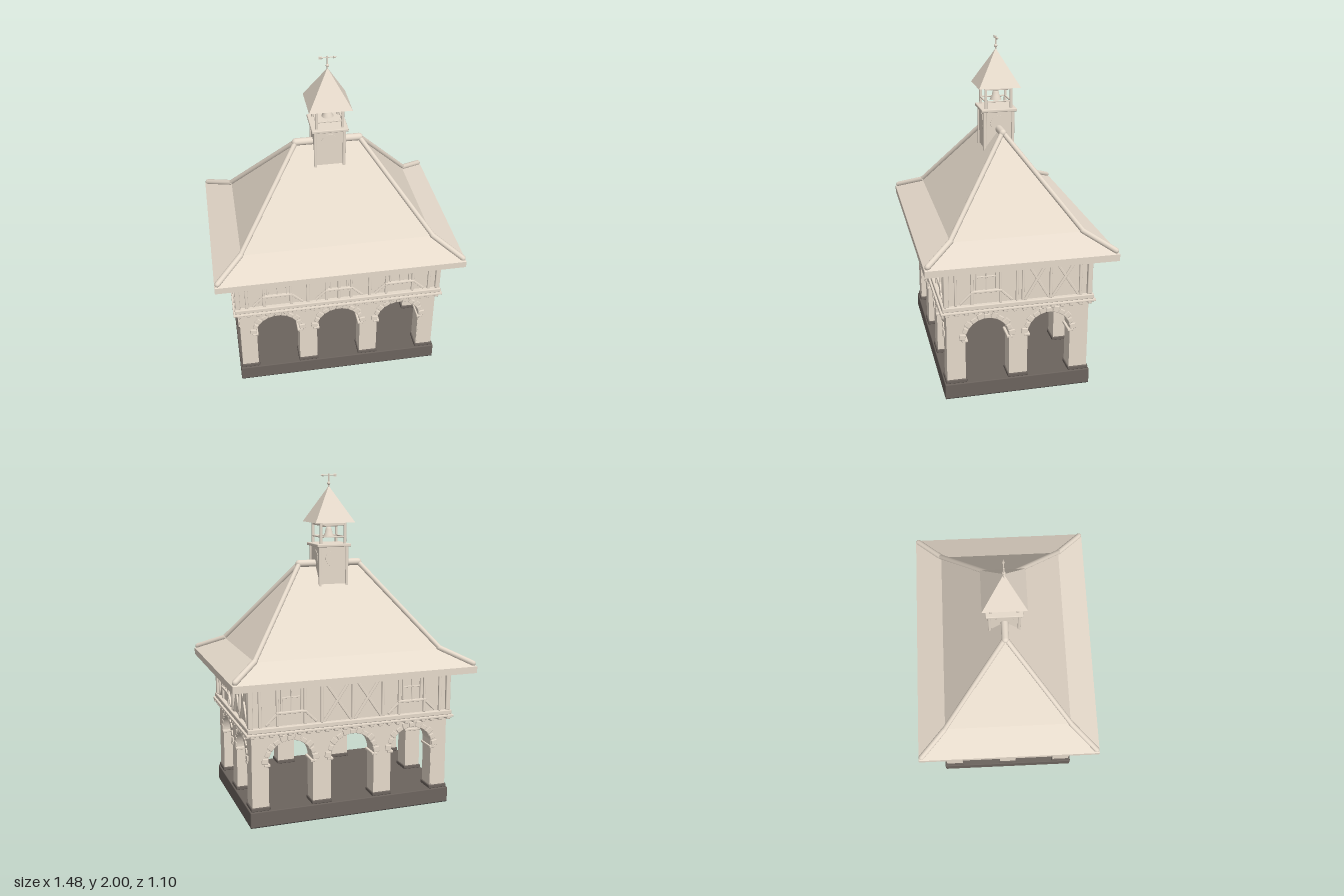
import * as THREE from 'three';
import { RoundedBoxGeometry } from 'three/addons/geometries/RoundedBoxGeometry.js';

const mat = (name, color) => {
  const m = new THREE.MeshStandardMaterial({ color });
  m.name = name;
  return m;
};

export function createModel() {
  const stone = mat('pale stone', 0xe6dacb);
  const slate = mat('dark paving', 0x6c645e);
  const shade = mat('black footing', 0x333333);
  const model = new THREE.Group();

  const group = (name, parent = model) => {
    const g = new THREE.Group();
    g.name = name;
    parent.add(g);
    return g;
  };
  const add = (parent, name, geo, x = 0, y = 0, z = 0, m = stone) => {
    const mesh = new THREE.Mesh(geo, m);
    mesh.name = name;
    mesh.position.set(x, y, z);
    parent.add(mesh);
    return mesh;
  };
  // Block with softened edges
  const box = (parent, name, w, h, d, x, y, z, m) =>
    add(parent, name, new RoundedBoxGeometry(w, h, d, 1, Math.min(0.005, 0.25 * Math.min(w, h, d))), x, y, z, m);
  // Timber lying on a facade between two points
  const beam = (parent, name, x1, y1, x2, y2, t = 0.016, d = 0.014, z = 0.006) => {
    const b = box(parent, name, t, Math.hypot(x2 - x1, y2 - y1), d, (x1 + x2) / 2, (y1 + y2) / 2, z);
    b.rotation.z = Math.atan2(x1 - x2, y2 - y1);
  };
  // Round-ended rod between two points
  const rod = (parent, name, a, b, r, sides = 10) => {
    const p = new THREE.Vector3(...a), q = new THREE.Vector3(...b);
    const m = add(parent, name, new THREE.CapsuleGeometry(r, p.distanceTo(q) - 2 * r, 3, sides));
    m.position.copy(p).lerp(q, 0.5);
    m.quaternion.setFromUnitVectors(new THREE.Vector3(0, 1, 0), q.sub(p).normalize());
  };
  // Flat-faced surface lofted through rectangles [halfX, y, halfZ]
  const loft = (rings) => {
    const pos = [];
    const corner = ([x, y, z], i) => new THREE.Vector3([x, x, -x, -x][i % 4], y, [z, -z, -z, z][i % 4]);
    const tri = (a, b, c) => {
      if (b.clone().sub(a).cross(c.clone().sub(a)).length() > 1e-7)
        for (const v of [a, b, c]) pos.push(v.x, v.y, v.z);
    };
    for (let k = 0; k < rings.length - 1; k++)
      for (let i = 0; i < 4; i++) {
        const a = corner(rings[k], i), b = corner(rings[k], i + 1);
        const c = corner(rings[k + 1], i + 1), d = corner(rings[k + 1], i);
        tri(a, b, c);
        tri(a, c, d);
      }
    const g = new THREE.BufferGeometry();
    g.setAttribute('position', new THREE.Float32BufferAttribute(pos, 3));
    g.computeVertexNormals();
    return g;
  };

  // Base
  box(model, 'base', 1.25, 0.093, 0.87, 0, 0.0485, 0, slate);
  box(model, 'footing', 1.246, 0.006, 0.866, 0, 0.003, 0, shade);

  // One arcade wall, outer face at local z = 0
  const Y0 = 0.095, SPRING = 0.367;
  const arcade = (parent, half, centres, r) => {
    const s = new THREE.Shape();
    s.moveTo(-half, Y0);
    for (const c of centres) {
      s.lineTo(c - r, Y0);
      s.lineTo(c - r, SPRING);
      s.absarc(c, SPRING, r, Math.PI, 0, true);
      s.lineTo(c + r, Y0);
    }
    s.lineTo(half, Y0);
    s.lineTo(half, 0.56);
    s.lineTo(-half, 0.56);
    s.closePath();
    const geo = new THREE.ExtrudeGeometry(s, { depth: 0.1, bevelEnabled: false, curveSegments: 20 });
    add(parent, 'arcadeWall', geo, 0, 0, -0.1);
    for (const c of centres) {
      for (let i = 0; i < 11; i++) {
        const a = (Math.PI * (i + 0.5)) / 11, len = i % 2 ? 0.028 : 0.038;
        const v = box(parent, 'archStone', len, 0.034, 0.016, c + Math.cos(a) * (r + len / 2),
          SPRING + Math.sin(a) * (r + len / 2), 0);
        v.rotation.z = a;
      }
      for (const e of [-1, 1])
        box(parent, 'impost', 0.036, 0.016, 0.116, c + e * (r + 0.004), SPRING - 0.004, -0.05);
    }
    // Pier plinths
    const edges = [-half, ...centres.flatMap((c) => [c - r, c + r]), half];
    for (let i = 0; i < edges.length; i += 2) {
      const w = edges[i + 1] - edges[i], x = (edges[i] + edges[i + 1]) / 2;
      box(parent, 'plinth', w + 0.014, 0.022, 0.116, x, Y0 + 0.011, -0.05, slate);
    }
    // Joist ends under the jetty
    const n = Math.round((half * 2) / 0.055);
    for (let i = 0; i <= n; i++)
      box(parent, 'joistEnd', 0.024, 0.02, 0.05, -half + (i * 2 * half) / n, 0.546, 0.01);
  };

  const LOW = 0.59, TOP = 0.84, SILL = 0.668;
  const post = (p, x, t) => beam(p, 'post', x, LOW, x, TOP, t);
  const windowBay = (p, x, w = 0.082) => {
    for (const e of [-1, 1]) {
      post(p, x + e * w);
      beam(p, 'footBrace', x + e * w, SILL, x + e * (w + 0.07), LOW + 0.01, 0.014);
      box(p, 'windowFrame', 0.01, 0.13, 0.012, x + e * (w - 0.024), 0.742, 0.004);
    }
    box(p, 'windowSill', 2 * w + 0.02, 0.014, 0.02, x, SILL, 0.008);
    box(p, 'windowHead', 2 * w, 0.014, 0.014, x, 0.812, 0.005);
    box(p, 'mullion', 0.008, 0.14, 0.008, x, 0.742, 0.003);
    box(p, 'transom', 2 * w - 0.04, 0.008, 0.008, x, 0.755, 0.003);
  };
  const crossBay = (p, a, b) => {
    beam(p, 'crossBrace', a, LOW, b, TOP, 0.015);
    beam(p, 'crossBrace', b, LOW, a, TOP, 0.015, 0.012, 0.005);
  };

  // Long facades: front has three windows, back a crossed middle bay
  for (const [name, dir] of [['front', 1], ['back', -1]]) {
    const f = group(name + 'Facade');
    f.position.z = 0.42 * dir;
    f.rotation.y = dir > 0 ? 0 : Math.PI;
    arcade(f, 0.61, [-0.38, 0, 0.38], 0.135);
    for (const x of [-0.56, -0.19, 0.19, 0.56]) post(f, x, 0.018);
    windowBay(f, -0.375);
    windowBay(f, 0.375);
    post(f, 0);
    if (dir > 0) windowBay(f, 0, 0.075);
    else {
      crossBay(f, -0.18, -0.01);
      crossBay(f, 0.01, 0.18);
    }
  }
  // Short facades: one window bay and two crossed bays
  for (const [name, dir] of [['left', 1], ['right', -1]]) {
    const f = group(name + 'Facade');
    f.position.x = 0.61 * dir;
    f.rotation.y = (dir * Math.PI) / 2;
    arcade(f, 0.419, [-0.183, 0.183], 0.128);
    for (const x of [-0.365, -0.01, 0.025, 0.188, 0.365]) post(f, x);
    windowBay(f, -0.19);
    crossBay(f, 0.035, 0.18);
    crossBay(f, 0.196, 0.355);
  }

  // Upper storey with sill beams and corner posts
  box(model, 'upperStorey', 1.22, 0.29, 0.84, 0, 0.705, 0);
  box(model, 'jettyBeam', 1.29, 0.012, 0.91, 0, 0.556, 0);
  box(model, 'sillBeam', 1.27, 0.028, 0.89, 0, 0.577, 0);
  for (const x of [-1, 1]) for (const z of [-1, 1])
    box(model, 'cornerPost', 0.03, 0.25, 0.03, x * 0.615, 0.715, z * 0.42);

  // Ceiling joists over the open hall
  for (let i = -5; i <= 5; i++)
    box(model, 'ceilingJoist', 0.025, 0.03, 0.66, i * 0.093, 0.536, 0, slate);

  // Hipped roof with flared eaves
  add(model, 'roof', loft([[0.74, 0.835, 0.55], [0.74, 0.875, 0.55], [0.57, 0.96, 0.38], [0.19, 1.455, 0]]));
  add(model, 'roofSoffit', loft([[0, 0.835, 0], [0.74, 0.835, 0.55]]), 0, 0, 0, slate);
  const hips = group('hipTiles');
  for (const x of [-1, 1]) {
    for (const z of [-1, 1]) {
      rod(hips, 'eaveHip', [x * 0.732, 0.886, z * 0.542], [x * 0.56, 0.972, z * 0.37], 0.017);
      rod(hips, 'mainHip', [x * 0.58, 0.958, z * 0.39], [x * 0.19, 1.463, z * 0.003], 0.015);
    }
    rod(hips, 'ridgeTile', [x * 0.07, 1.463, 0], [x * 0.213, 1.463, 0], 0.022, 14);
  }

  // Bell turret
  const turret = group('bellTurret');
  box(turret, 'turretBody', 0.172, 0.27, 0.172, 0, 1.44, 0);
  box(turret, 'turretPlatform', 0.214, 0.018, 0.214, 0, 1.575, 0);
  for (const x of [-1, 1]) for (const z of [-1, 1]) {
    box(turret, 'turretCorner', 0.018, 0.26, 0.018, x * 0.085, 1.438, z * 0.085);
    box(turret, 'belfryPost', 0.016, 0.135, 0.016, x * 0.076, 1.645, z * 0.076);
  }
  for (const e of [-1, 1]) for (const [y, t] of [[1.625, 0.008], [1.7, 0.016]]) {
    box(turret, 'belfryRail', 0.15, t, 0.01, 0, y, e * 0.076);
    box(turret, 'belfryRail', 0.01, t, 0.15, e * 0.076, y, 0);
  }
  for (let i = 0; i < 4; i++) {
    const side = group('turretDial', turret);
    side.rotation.y = (i * Math.PI) / 2;
    const dial = add(side, 'dial', new THREE.CylinderGeometry(0.05, 0.05, 0.006, 24), 0, 1.495, 0.086);
    dial.rotation.x = Math.PI / 2;
  }
  const bellProfile = [[0, 0.04], [0.03, 0], [0.036, 0], [0.024, 0.02], [0.019, 0.045], [0.012, 0.06], [0, 0.062]]
    .map((p) => new THREE.Vector2(...p));
  add(turret, 'bell', new THREE.LatheGeometry(bellProfile, 20), 0, 1.622, 0);
  rod(turret, 'bellYoke', [-0.06, 1.687, 0], [0.06, 1.687, 0], 0.006);
  add(turret, 'turretRoof', loft([[0.125, 1.71, 0.125], [0, 1.925, 0]]));
  add(turret, 'turretSoffit', loft([[0, 1.71, 0], [0.125, 1.71, 0.125]]), 0, 0, 0, slate);

  // Weather vane
  const vane = group('weatherVane');
  rod(vane, 'vaneRod', [0, 1.91, 0], [0, 2, 0], 0.004);
  add(vane, 'vaneBall', new THREE.SphereGeometry(0.01, 10, 8), 0, 1.94, 0);
  rod(vane, 'vaneArm', [-0.045, 1.988, 0], [0.045, 1.988, 0], 0.003, 6);
  const tip = add(vane, 'vanePoint', new THREE.ConeGeometry(0.008, 0.02, 8), 0.045, 1.988, 0);
  tip.rotation.z = -Math.PI / 2;
  box(vane, 'vaneTail', 0.02, 0.016, 0.004, -0.04, 1.988, 0);

  return model;
}
